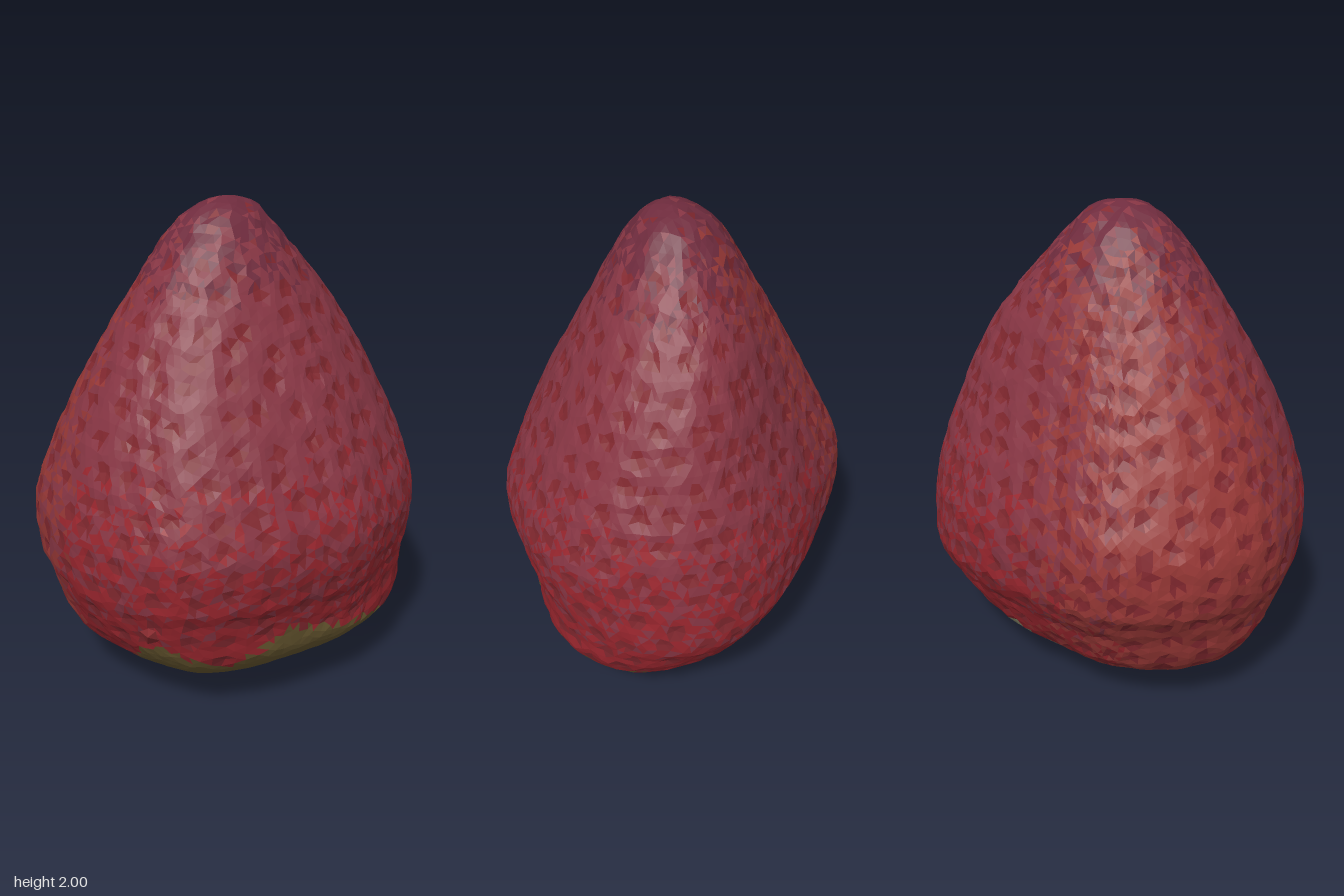
import * as THREE from 'three';
import { mergeVertices } from 'three/addons/utils/BufferGeometryUtils.js';

// Height, then the extents xMin, xMax, zMin, zMax of each cross-section
const SECTIONS = [
  [0.055, -0.04, -0.04, 0.06, 0.06],
  [0.05, -0.22, 0.14, -0.16, 0.2],
  [0.1, -0.37, 0.37, -0.28, 0.34],
  [0.2, -0.55, 0.57, -0.45, 0.5],
  [0.3, -0.645, 0.665, -0.53, 0.595],
  [0.4, -0.705, 0.73, -0.58, 0.62],
  [0.5, -0.75, 0.78, -0.65, 0.65],
  [0.6, -0.78, 0.782, -0.7, 0.69],
  [0.8, -0.785, 0.765, -0.705, 0.715],
  [1.0, -0.735, 0.715, -0.625, 0.645],
  [1.2, -0.66, 0.635, -0.53, 0.55],
  [1.4, -0.56, 0.545, -0.435, 0.445],
  [1.6, -0.44, 0.42, -0.335, 0.34],
  [1.8, -0.31, 0.255, -0.23, 0.235],
  [1.9, -0.23, 0.165, -0.165, 0.17],
  [1.97, -0.15, 0.09, -0.08, 0.105],
  [2.0, -0.03, -0.03, 0.02, 0.02],
];

// Lopsided plan outline in a unit box, running from +x through +z
const OUTLINE = [
  [1, 0], [0.96, 0.36], [0.81, 0.65], [0.58, 0.85], [0.32, 0.95], [0.06, 1], [-0.21, 0.94],
  [-0.53, 0.83], [-0.82, 0.61], [-0.95, 0.29], [-1, -0.03], [-0.92, -0.45], [-0.77, -0.72],
  [-0.53, -0.9], [-0.25, -0.99], [-0.03, -0.99], [0.24, -0.85], [0.53, -0.67], [0.76, -0.48], [0.91, -0.28],
];

// Upper edge of the green calyx, every 22.5 degrees from +x through +z
const CALYX = [0.16, 0.26, 0.28, 0.31, 0.36, 0.42, 0.26, 0.4, 0.14, 0.08, 0.08, 0.08, 0.1, 0.16, 0.25, 0.2];

const COLORS = {
  fleshRose: 0x883644,
  fleshRed: 0x9a262e,
  fleshOrange: 0x983836,
  fleshTip: 0x702c3e,
  seedPits: 0x82282f,
  calyx: 0x66562f,
  calyxPale: 0x7c7c60,
};

const spline = (points, closed = false) => new THREE.CatmullRomCurve3(points, closed, 'catmullrom', 0.5);
const profile = spline(SECTIONS.map(([y, a, b, c, d]) => new THREE.Vector3((b - a + d - c) / 4, y, 0)));
const xSpan = spline(SECTIONS.map(([, a, b]) => new THREE.Vector3(a, b, 0)));
const zSpan = spline(SECTIONS.map(([, , , a, b]) => new THREE.Vector3(a, b, 0)));
const outline = spline(OUTLINE.map(([x, z]) => new THREE.Vector3(x, 0, z)), true);

function seeded(seed) {
  return () => {
    seed = (seed * 16807) % 2147483647;
    return seed / 2147483647 - 0.5;
  };
}

// Point on the smooth skin: u goes around, v goes from base to tip
function skinPoint(u, v) {
  const t = profile.getUtoTmapping(v);
  const y = profile.getPoint(t).y;
  const xs = xSpan.getPoint(t);
  const zs = zSpan.getPoint(t);
  const plan = outline.getPoint(((u % 1) + 1) % 1);
  const round = plan.clone().normalize();
  plan.lerp(round, 0.7 * THREE.MathUtils.smoothstep(y, 1.3, 1.9));
  // The base bulges at both ends of one diagonal
  const low = 1 - THREE.MathUtils.smoothstep(y, 0.2, 0.55);
  plan.multiplyScalar(1 + 0.24 * Math.max(0, round.x * round.z) * low);
  return new THREE.Vector3(
    (xs.x + xs.y) / 2 + plan.x * (xs.y - xs.x) / 2,
    y,
    (zs.x + zs.y) / 2 + plan.z * (zs.y - zs.x) / 2
  );
}

// Loosely staggered rows of seed pits
function makePits(random) {
  const pits = [];
  const rows = 23;
  for (let i = 4; i < rows; i++) {
    const v = i / rows;
    const radius = profile.getPoint(profile.getUtoTmapping(v)).x;
    const count = Math.max(5, Math.round(2 * Math.PI * radius / 0.135));
    for (let j = 0; j < count; j++) {
      pits.push(skinPoint((j + (i % 2) / 2 + random() * 0.45) / count, (i + random() * 0.5) / rows));
    }
  }
  return pits;
}

function calyxEdge(p) {
  const a = ((Math.atan2(p.z, p.x) / (2 * Math.PI) + 1) % 1) * CALYX.length;
  const i = Math.floor(a) % CALYX.length;
  return THREE.MathUtils.lerp(CALYX[i], CALYX[(i + 1) % CALYX.length], a - Math.floor(a));
}

// Which coloured part a facet belongs to
function regionOf(p, pitDistance, noise) {
  if (p.y < calyxEdge(p) + noise * 0.03) return p.x > 0.1 && p.z < 0 ? 'calyxPale' : 'calyx';
  if (p.y > 1.84 + noise * 0.4) return 'fleshTip';
  if (pitDistance < 0.034) return 'seedPits';
  if (p.z < -0.25 + noise * 0.4 && p.x < 0.05 + noise * 0.5) return 'fleshOrange';
  return p.y < 0.75 + noise * 0.8 ? 'fleshRed' : 'fleshRose';
}

function material(color) {
  return new THREE.MeshStandardMaterial({ color, flatShading: true });
}

function makeBody() {
  const random = seeded(71);
  const pits = makePits(random);
  const nearestPit = (p) => Math.sqrt(pits.reduce((best, q) => Math.min(best, p.distanceToSquared(q)), 9));

  // Evenly faceted ball, each corner moved onto the dimpled skin
  const ball = new THREE.IcosahedronGeometry(1, 25);
  ball.deleteAttribute('normal');
  ball.deleteAttribute('uv');
  const mesh = mergeVertices(ball, 1e-4);
  const directions = mesh.attributes.position;
  const corners = [];
  for (let i = 0; i < directions.count; i++) {
    const d = new THREE.Vector3().fromBufferAttribute(directions, i);
    d.add(new THREE.Vector3(random(), random(), random()).multiplyScalar(0.022)).normalize();
    const p = skinPoint(Math.atan2(d.z, d.x) / (2 * Math.PI), Math.acos(-d.y) / Math.PI);
    const dip = p.y > calyxEdge(p) ? 0.012 * Math.exp(-((nearestPit(p) / 0.04) ** 2)) : 0;
    const out = new THREE.Vector3(p.x, (p.y - 0.8) * 0.5, p.z).normalize();
    corners.push(p.addScaledVector(out, 0.004 - dip + random() * 0.004));
  }

  // Sort the facets into coloured parts
  const parts = Object.fromEntries(Object.keys(COLORS).map((name) => [name, []]));
  for (let i = 0; i < mesh.index.count; i += 3) {
    const facet = [0, 1, 2].map((k) => corners[mesh.index.getX(i + k)]);
    const mid = new THREE.Vector3();
    facet.forEach((p) => mid.addScaledVector(p, 1 / 3));
    const list = parts[regionOf(mid, nearestPit(mid), random())];
    facet.forEach((p) => list.push(p.x, p.y, p.z));
  }

  const body = new THREE.Group();
  body.name = 'fruitBody';
  for (const [name, list] of Object.entries(parts)) {
    const geometry = new THREE.BufferGeometry();
    geometry.setAttribute('position', new THREE.Float32BufferAttribute(list, 3));
    geometry.computeVertexNormals();
    const part = new THREE.Mesh(geometry, material(COLORS[name]));
    part.name = name;
    body.add(part);
  }
  return body;
}

export function createModel() {
  const model = new THREE.Group();
  model.name = 'strawberry';
  model.add(makeBody());

  // Short broken stem under the base
  const stem = new THREE.Mesh(new THREE.CylinderGeometry(0.075, 0.025, 0.07, 5), material(0x80704c));
  stem.name = 'stem';
  stem.position.set(-0.04, 0.035, 0.07);
  model.add(stem);

  // Curled leaf tip on the side
  const leafTip = new THREE.Mesh(new THREE.ConeGeometry(0.05, 0.08, 5), material(0x8a2c30));
  leafTip.name = 'leafTip';
  leafTip.position.set(-0.68, 0.46, 0.28);
  leafTip.quaternion.setFromUnitVectors(new THREE.Vector3(0, 1, 0), new THREE.Vector3(-0.75, 0.3, 0.55).normalize());
  model.add(leafTip);

  return model;
}
